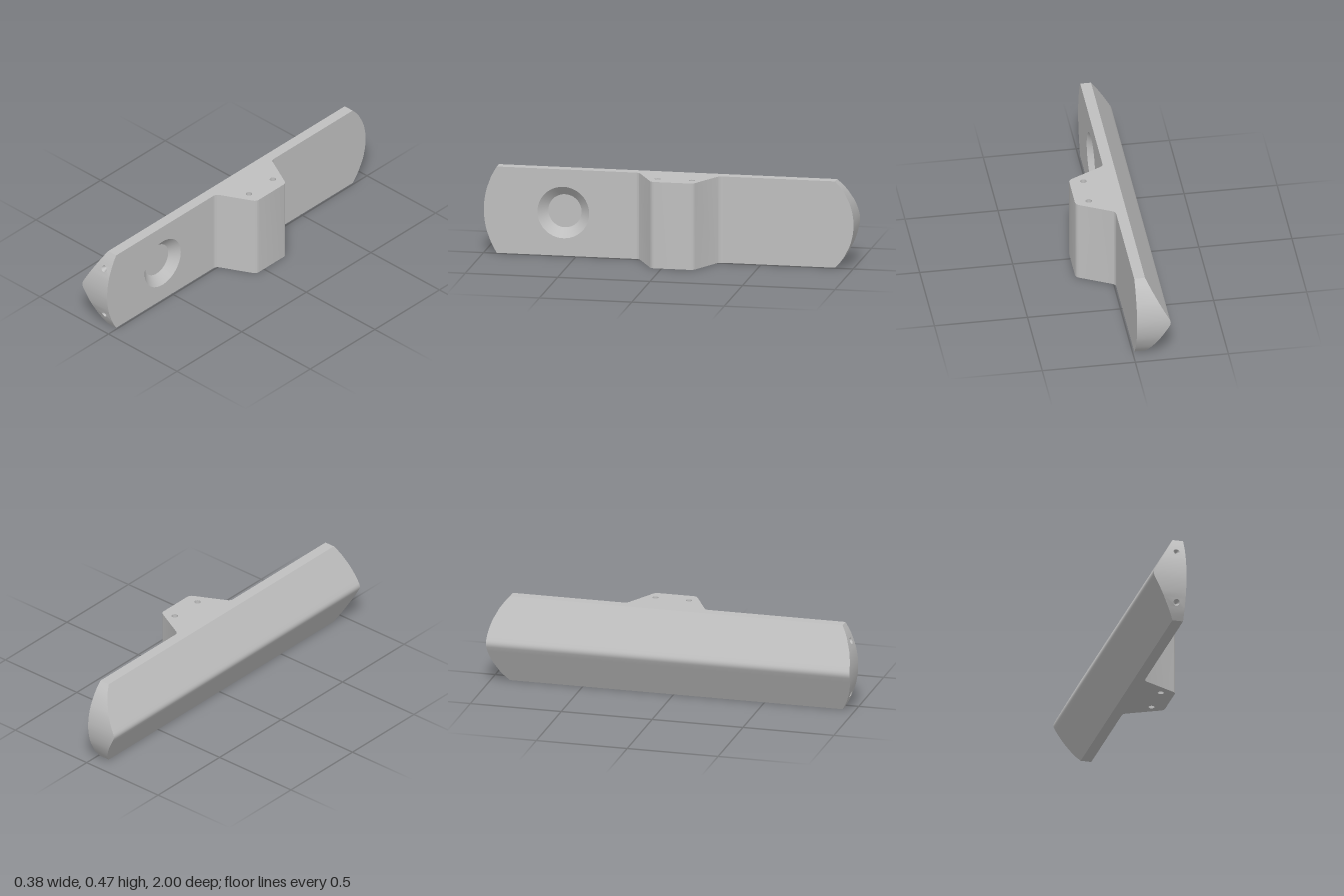
import * as THREE from 'three';
import { mergeGeometries, toCreasedNormals } from 'three/addons/utils/BufferGeometryUtils.js';

const H = 0.47, MID = H / 2, FACE = -0.01;
const HOLE = { x: -0.057, r: 0.017, ys: [0.087, 0.383] };

// heights at which the body is sliced, mirrored about the middle
const half = [0, 0.03, 0.06, 0.115, 0.14, 0.165, 0.19, 0.215, 0.225];
const levels = [...half, MID, ...half.map((y) => H - y).reverse()];

// end faces: circular arcs over the height
const arc = (y, sag) => {
  const R = (MID * MID + sag * sag) / (2 * sag);
  return 1 - R + Math.sqrt(R * R - (y - MID) ** 2);
};
const frontZ = (y) => arc(y, 0.07);
const backZ = (y) => -arc(y, 0.1);

// ridge side: two slopes meeting in a rounded tip
const ridgeX = (y) => {
  const d = Math.abs(y - MID);
  return d > 0.02 ? -0.185 + (d - 0.02) * 0.544 : -0.1904 + 13.6 * d * d;
};

const circle = (x, y, r) => new THREE.Path().absarc(x, y, r, 0, Math.PI * 2, true);

function quad(a, b, c, d) {
  const g = new THREE.BufferGeometry();
  g.setAttribute('position', new THREE.Float32BufferAttribute([...a, ...b, ...c, ...a, ...c, ...d], 3));
  return g;
}

// one horizontal band of an end face, bent to the arc
function endBand(y0, y1, front) {
  const s = new THREE.Shape([
    new THREE.Vector2(ridgeX(y0), y0), new THREE.Vector2(FACE, y0),
    new THREE.Vector2(FACE, y1), new THREE.Vector2(ridgeX(y1), y1),
  ]);
  if (front) for (const y of HOLE.ys) if (y > y0 && y < y1) s.holes.push(circle(HOLE.x, y, HOLE.r));
  const g = new THREE.ShapeGeometry(s, 12);
  const p = g.attributes.position;
  for (let i = 0; i < p.count; i++) p.setZ(i, (front ? frontZ : backZ)(p.getY(i)));
  if (!front) g.index.array.reverse();
  return g;
}

function bodyGeometry() {
  const parts = [];
  for (let i = 0; i < levels.length - 1; i++) {
    const a = levels[i], b = levels[i + 1], xa = ridgeX(a), xb = ridgeX(b);
    parts.push(endBand(a, b, true), endBand(a, b, false));
    parts.push(quad([xa, a, backZ(a)], [xa, a, frontZ(a)], [xb, b, frontZ(b)], [xb, b, backZ(b)]));
  }
  // narrow top and bottom faces
  const x = ridgeX(0), f = frontZ(0), k = backZ(0);
  parts.push(quad([x, H, f], [FACE, H, f], [FACE, H, k], [x, H, k]));
  parts.push(quad([x, 0, k], [FACE, 0, k], [FACE, 0, f], [x, 0, f]));
  // broad flat face with an opening for the recess
  const outline = [
    ...levels.map((y) => new THREE.Vector2(-backZ(y), y)),
    ...[...levels].reverse().map((y) => new THREE.Vector2(-frontZ(y), y)),
  ];
  const side = new THREE.Shape(outline);
  side.holes.push(circle(-0.57, MID, 0.14));
  parts.push(new THREE.ShapeGeometry(side, 24).rotateY(Math.PI / 2).translate(FACE, 0, 0));

  return toCreasedNormals(mergeGeometries(parts.map((g) => {
    const n = g.index ? g.toNonIndexed() : g;
    n.deleteAttribute('uv');
    n.deleteAttribute('normal');
    n.computeVertexNormals();
    return n;
  })), 0.5);
}

// trapezoid block with filleted feet and rounded outer corners
function lugGeometry(holes) {
  const c = 0.057; // shape y is -z
  const s = new THREE.Shape();
  s.moveTo(FACE, c - 0.235);
  s.quadraticCurveTo(FACE, c - 0.218, 0.006, c - 0.208);
  s.lineTo(0.172, c - 0.123);
  s.quadraticCurveTo(0.19, c - 0.113, 0.19, c - 0.095);
  s.lineTo(0.19, c + 0.095);
  s.quadraticCurveTo(0.19, c + 0.113, 0.172, c + 0.123);
  s.lineTo(0.006, c + 0.208);
  s.quadraticCurveTo(FACE, c + 0.218, FACE, c + 0.235);
  for (const [x, z] of holes) s.holes.push(circle(x, -z, 0.017));
  const g = new THREE.ExtrudeGeometry(s, { depth: H, bevelEnabled: false, curveSegments: 10 });
  return toCreasedNormals(g.rotateX(-Math.PI / 2), 0.5);
}

export function createModel() {
  const group = new THREE.Group();
  const grey = new THREE.MeshStandardMaterial({ color: 0xbfbfbf, side: THREE.DoubleSide });
  grey.name = 'grey';
  const add = (name, geometry) => {
    const m = new THREE.Mesh(geometry, grey);
    m.name = name;
    group.add(m);
    return m;
  };

  add('body', bodyGeometry());

  // countersunk recess in the broad face
  const profile = [[0.14, 0], [0.09, -0.045], [0, -0.045]].map(([x, y]) => new THREE.Vector2(x, y));
  const recess = new THREE.LatheGeometry(profile, 48).rotateZ(-Math.PI / 2);
  add('recess', toCreasedNormals(recess, 0.5)).position.set(FACE, MID, 0.57);

  // conical holes in the front end, rims following the curve
  for (const y of HOLE.ys) {
    const g = new THREE.ConeGeometry(HOLE.r, 0.03, 24, 1, true).rotateX(-Math.PI / 2).translate(HOLE.x, y, 0);
    const p = g.attributes.position;
    for (let i = 0; i < p.count; i++) {
      const rim = Math.hypot(p.getX(i) - HOLE.x, p.getY(i) - y) > 0.01;
      p.setZ(i, rim ? frontZ(p.getY(i)) : frontZ(y) - 0.03);
    }
    g.computeVertexNormals();
    add('endHole', g);
  }

  // lug with blind holes from above and below
  const holes = [[0.115, -0.15], [0.115, 0.035]];
  add('lug', lugGeometry(holes));
  for (const [x, z] of holes) {
    add('holeFloor', new THREE.CylinderGeometry(0.017, 0.017, H - 0.12, 20)).position.set(x, MID, z);
  }
  return group;
}
